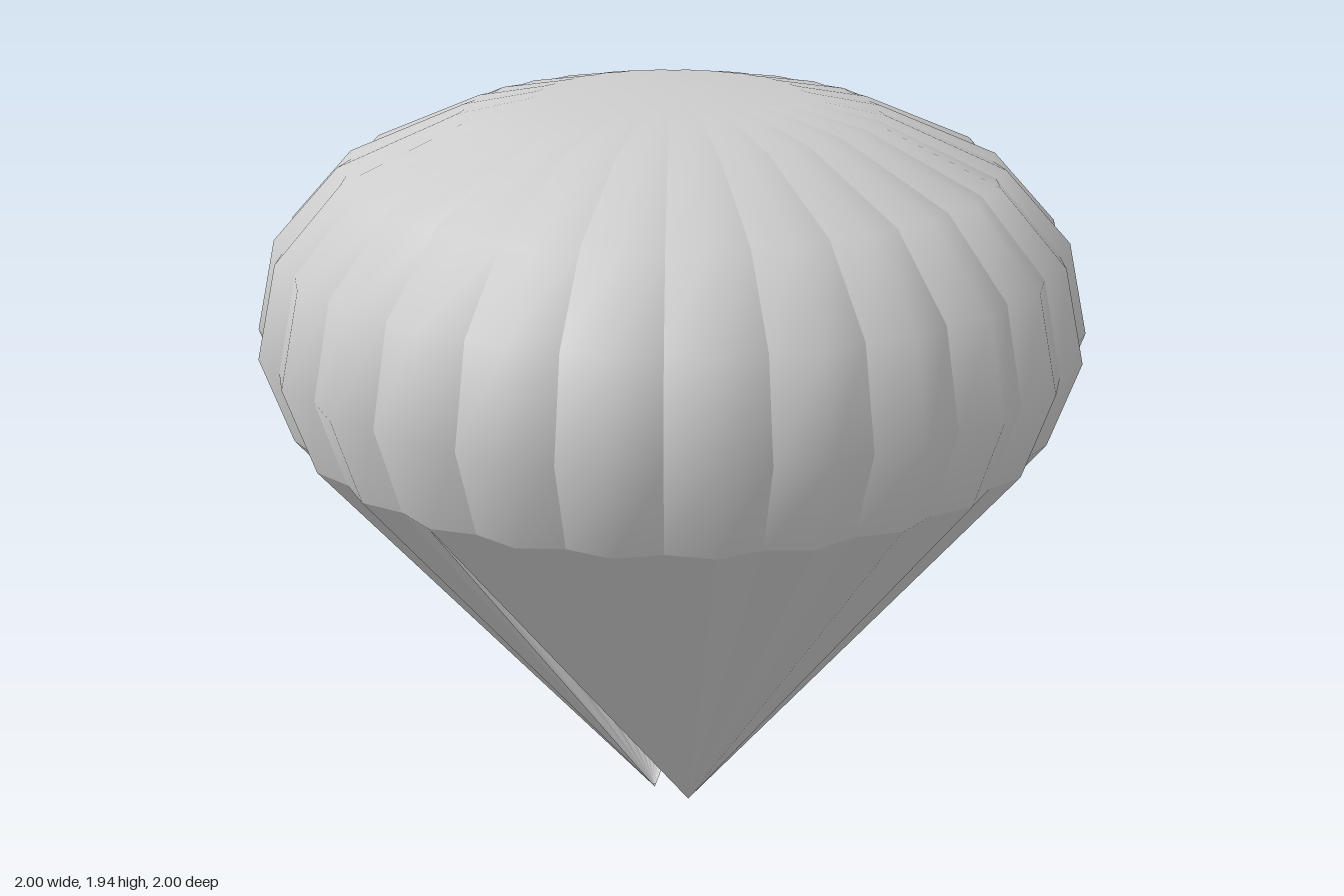
import * as THREE from 'three';

const GORES = 28;
const STEP = (Math.PI * 2) / GORES;
const VALLEY = 0.972; // seams between gores are pulled inwards

// Canopy profile [radius, height], hem to crown
const PROFILE = [[0.935, 1.17], [1, 1.38], [0.945, 1.6], [0.785, 1.77], [0.5, 1.89], [0.32, 1.925], [0, 1.94]];

const cloth = new THREE.MeshStandardMaterial({ color: 0xcccccc, side: THREE.DoubleSide });
cloth.name = 'grey cloth';

// Point on the scalloped surface; half steps are seams, whole steps are ridges
function surfacePoint(halfStep, [radius, y]) {
  const angle = (halfStep * STEP) / 2;
  const r = radius * (halfStep % 2 === 0 ? 1 : VALLEY);
  return [Math.cos(angle) * r, y, Math.sin(angle) * r];
}

// One bulging gore: smooth over its ridge, creased at its seams
function goreGeometry() {
  const positions = [], index = [];
  for (const ring of PROFILE) {
    for (let j = -1; j <= 1; j++) positions.push(...surfacePoint(j, ring));
  }
  const last = PROFILE.length - 1;
  for (let i = 0; i < last; i++) {
    for (let j = 0; j < 2; j++) {
      const a = i * 3 + j, b = a + 3;
      index.push(a, b, a + 1);
      if (i < last - 1) index.push(b, b + 1, a + 1);
    }
  }
  const geometry = new THREE.BufferGeometry();
  geometry.setAttribute('position', new THREE.Float32BufferAttribute(positions, 3));
  geometry.setIndex(index);
  geometry.computeVertexNormals();
  for (let j = 0; j < 3; j++) geometry.attributes.normal.setXYZ(last * 3 + j, 0, 1, 0);
  return geometry;
}

// Half cone of pleated faces from the hem down to one riser point
function lineFanGeometry(side) {
  const positions = [];
  const start = side > 0 ? -GORES / 2 : GORES / 2;
  for (let k = start; k < start + GORES; k++) {
    positions.push(side * 0.055, 0, 0, ...surfacePoint(k, PROFILE[0]), ...surfacePoint(k + 1, PROFILE[0]));
  }
  const geometry = new THREE.BufferGeometry();
  geometry.setAttribute('position', new THREE.Float32BufferAttribute(positions, 3));
  geometry.computeVertexNormals();
  return geometry;
}

export function createModel() {
  const model = new THREE.Group();
  model.name = 'parachute';

  // Canopy
  const canopy = new THREE.Group();
  canopy.name = 'canopy';
  const gore = goreGeometry();
  for (let k = 0; k < GORES; k++) {
    const mesh = new THREE.Mesh(gore, cloth);
    mesh.name = 'gore';
    mesh.rotation.y = k * STEP;
    canopy.add(mesh);
  }
  model.add(canopy);

  // Suspension lines, one fan per riser with a slit between them
  for (const [name, side] of [['leftLines', 1], ['rightLines', -1]]) {
    const fan = new THREE.Mesh(lineFanGeometry(side), cloth);
    fan.name = name;
    model.add(fan);
  }
  return model;
}
